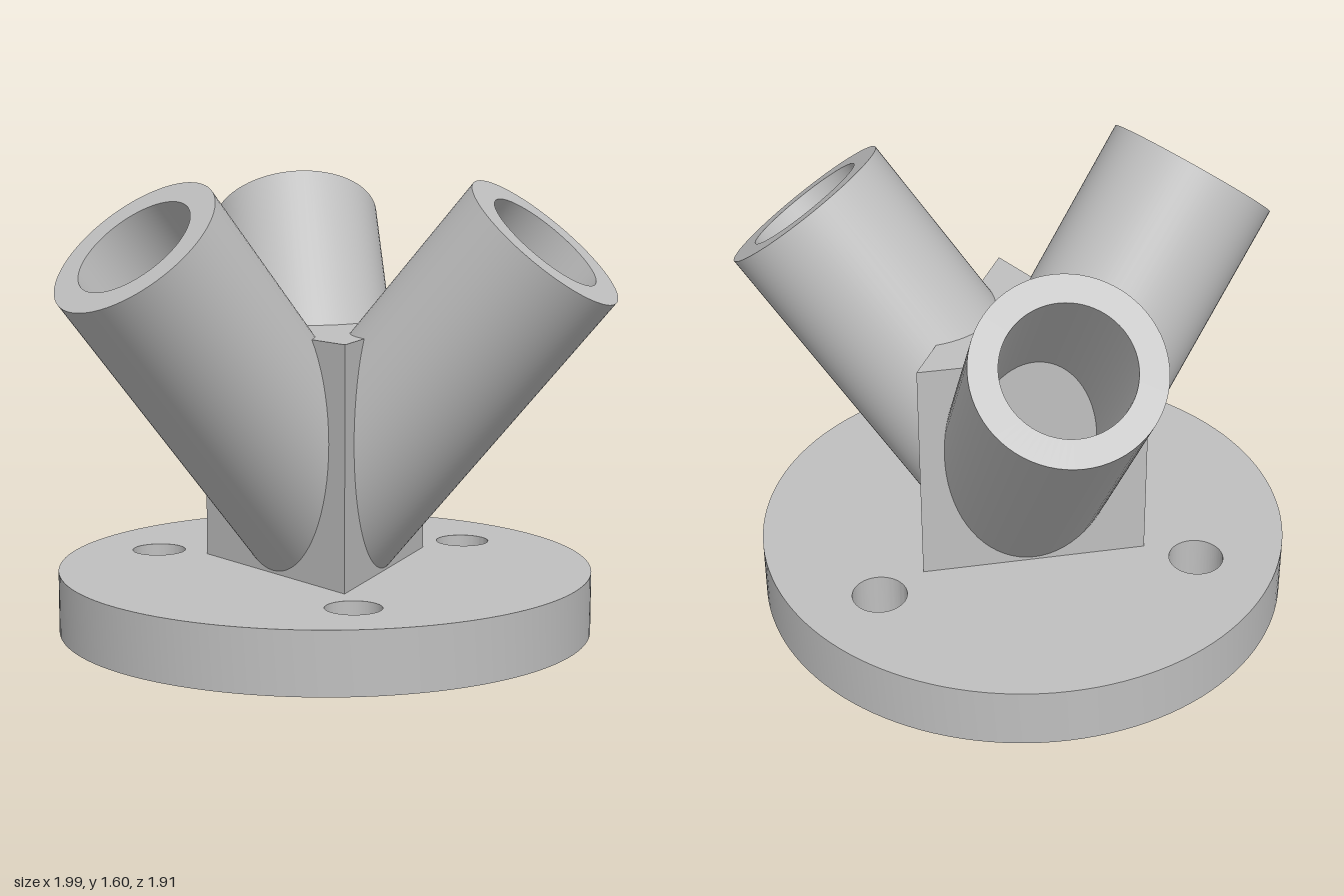
import * as THREE from 'three';
import { toCreasedNormals } from 'three/addons/utils/BufferGeometryUtils.js';

const BASE_TOP = 0.22, PRISM_TOP = 1.07, PRISM_R = 0.465;
const FACE = PRISM_R / 2;                      // distance from the centre to a prism face
const TILT = THREE.MathUtils.degToRad(40);     // tube lean from vertical
const MOUTH = { x: 0.802, y: 1.4 };            // centre of a tube's open end
const OUTER = 0.316, INNER = 0.22;

// Extrude a plan shape upwards between two heights
function slab(shape, y0, y1) {
  const g = new THREE.ExtrudeGeometry(shape, { depth: y1 - y0, bevelEnabled: false, curveSegments: 64 });
  g.rotateX(-Math.PI / 2).translate(0, y0, 0);
  return toCreasedNormals(g, 0.5);
}

// Put geometry built along +y, mouth at the origin, onto its leaning axis
const lean = (g) => g.rotateZ(-TILT).translate(MOUTH.x, MOUTH.y, 0);

// Open cylinder whose lower edge is trimmed where it meets the prism
function tubeWall(radius) {
  const g = new THREE.CylinderGeometry(radius, radius, 1, 72, 1, true).translate(0, -0.5, 0);
  const p = g.attributes.position, s = Math.sin(TILT), c = Math.cos(TILT);
  for (let i = 0; i < p.count; i++) {
    if (p.getY(i) > -0.5) continue;
    const x = p.getX(i);
    const toFace = (FACE - MOUTH.x - x * c) / s;
    const toTop = (PRISM_TOP - MOUTH.y + x * s) / c;
    p.setY(i, Math.min(toFace, toTop));
  }
  return lean(g);
}

export function createModel() {
  const grey = new THREE.MeshStandardMaterial({ color: 0xbfbfbf, side: THREE.DoubleSide });
  grey.name = 'grey';
  const model = new THREE.Group();
  model.name = 'tripleTubeHolder';
  const body = new THREE.Group();
  body.name = 'body';
  body.position.x = 0.045;
  model.add(body);

  const add = (parent, name, geometry) => {
    const mesh = new THREE.Mesh(geometry, grey);
    mesh.name = name;
    parent.add(mesh);
  };
  const thirds = [0, 1, 2].map((i) => (i * Math.PI * 2) / 3);

  // Round base with three bolt holes
  const disc = new THREE.Shape().absarc(0, 0, 0.95, 0, Math.PI * 2);
  for (const a of thirds) {
    disc.holes.push(new THREE.Path().absarc(0.66 * Math.cos(a), 0.66 * Math.sin(a), 0.097, 0, Math.PI * 2, true));
  }
  add(body, 'base', slab(disc, 0, BASE_TOP));

  // Triangular core
  const triangle = new THREE.Shape(thirds.map((a) =>
    new THREE.Vector2(PRISM_R * Math.cos(a), PRISM_R * Math.sin(a))));
  add(body, 'core', slab(triangle, BASE_TOP, PRISM_TOP));

  // Three leaning tubes, one on each core face
  const outer = tubeWall(OUTER), inner = tubeWall(INNER);
  const rim = lean(new THREE.RingGeometry(INNER, OUTER, 72).rotateX(-Math.PI / 2));
  for (const a of thirds) {
    const tube = new THREE.Group();
    tube.name = 'tube';
    tube.rotation.y = a + Math.PI;
    add(tube, 'tubeOuterWall', outer);
    add(tube, 'tubeBore', inner);
    add(tube, 'tubeRim', rim);
    body.add(tube);
  }
  return model;
}
